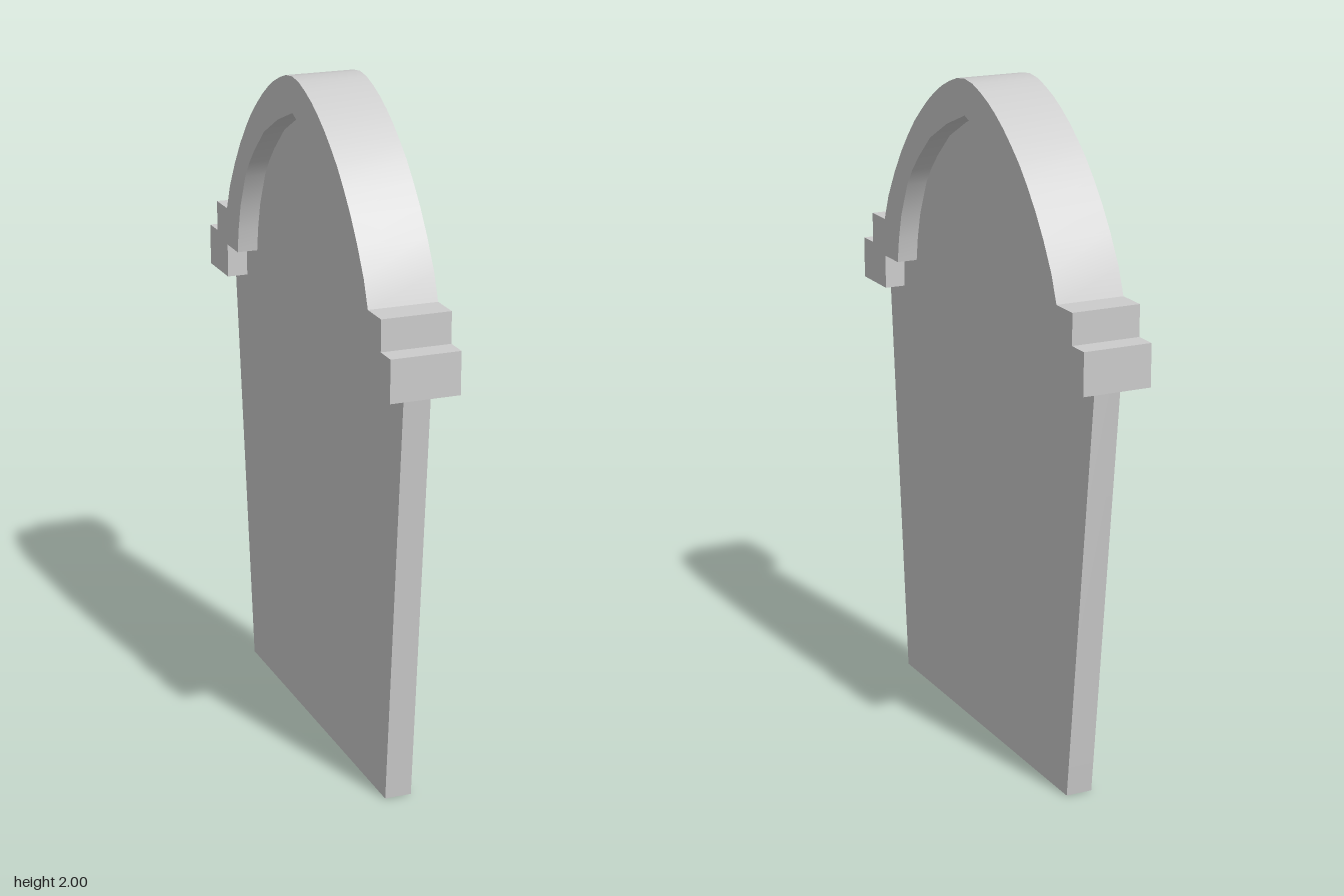
import * as THREE from 'three';
import { toCreasedNormals } from 'three/addons/utils/BufferGeometryUtils.js';

const SHIFT = 0.005; // the arch sits slightly forward

// Extrude a (z, y) outline symmetrically along x
function plate(name, points, thickness) {
  const shape = new THREE.Shape(points.map(([z, y]) => new THREE.Vector2(z, y)));
  const geo = new THREE.ExtrudeGeometry(shape, { depth: thickness, bevelEnabled: false });
  geo.translate(0, 0, -thickness / 2);
  geo.rotateY(-Math.PI / 2);
  const mesh = new THREE.Mesh(toCreasedNormals(geo, 0.6), new THREE.MeshStandardMaterial({ color: 0xcccccc }));
  mesh.name = name;
  return mesh;
}

// Half profile -> full run from +z over the apex to -z
function mirrored(half, apexY) {
  const left = half.map(([z, y]) => [z + SHIFT, y]);
  const right = half.map(([z, y]) => [-z + SHIFT, y]).reverse();
  return [...left, [SHIFT, apexY], ...right];
}

export function createModel() {
  const group = new THREE.Group();
  group.name = 'headstone';

  // Stepped shoulders and outer curve of the arch
  const outer = mirrored([
    [0.727, 1.26], [0.727, 1.385], [0.66, 1.385], [0.66, 1.477], [0.568, 1.477],
    [0.538, 1.555], [0.49, 1.638], [0.44, 1.71], [0.39, 1.77], [0.343, 1.82],
    [0.294, 1.862], [0.245, 1.9], [0.196, 1.932], [0.15, 1.957], [0.1, 1.978], [0.05, 1.994],
  ], 2);

  // Inner curve of the arch with its small step
  const inner = mirrored([
    [0.566, 1.26], [0.566, 1.362], [0.474, 1.362], [0.464, 1.435], [0.444, 1.515],
    [0.398, 1.618], [0.362, 1.668], [0.318, 1.715], [0.233, 1.79], [0.118, 1.851],
  ], 1.895);

  group.add(plate('archTrim', [...outer, ...inner.reverse()], 0.206));

  // Tapered slab, its top hidden inside the trim
  const top = mirrored([
    [0.62, 1.42], [0.52, 1.42], [0.49, 1.54], [0.42, 1.67], [0.32, 1.785], [0.17, 1.885],
  ], 1.945);
  group.add(plate('slab', [[-0.527, 0], [0.571, 0], [0.677, 1.26], [0.68, 1.3], ...top, [-0.67, 1.3], [-0.668, 1.26]], 0.08));

  return group;
}
